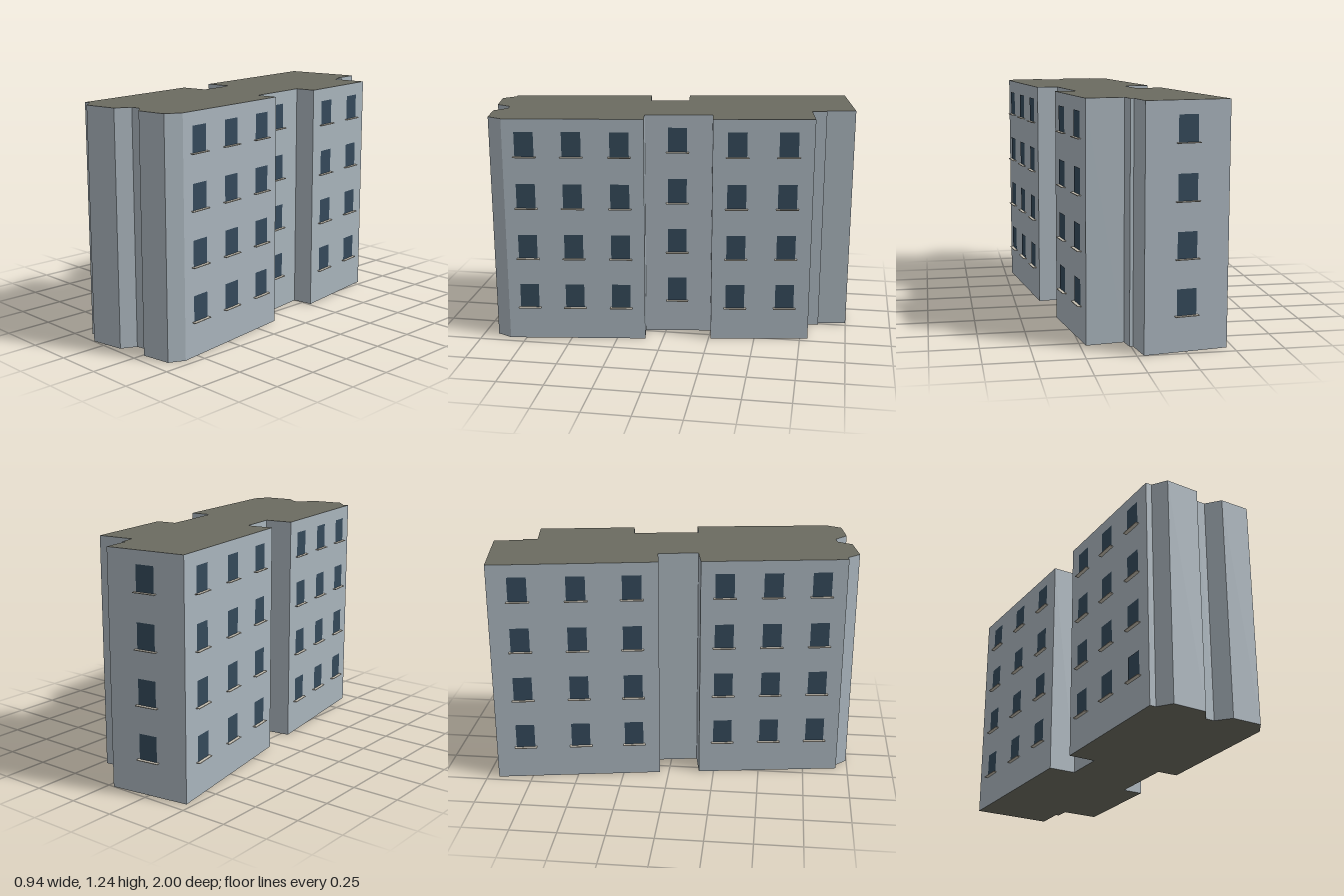
import * as THREE from 'three';

const HEIGHT = 1.24;

// Floor plan corners [x, z]
const PLAN = [
  [-0.468, -0.937], [-0.034, -1.0], [-0.01, -0.842], [0.008, -0.846], [0.022, -0.767],
  [0.22, -0.793], [0.302, -0.262], [0.19, -0.247], [0.242, 0.112], [0.357, 0.096],
  [0.457, 0.838], [0.417, 0.92], [0.257, 0.942], [0.185, 0.88], [0.138, 0.888],
  [0.098, 0.967], [-0.083, 0.997], [-0.145, 0.932], [-0.178, 0.937],
  [-0.292, 0.168], [-0.145, 0.143], [-0.178, -0.07], [-0.323, -0.05],
];

// Window columns: index of the wall's first corner, and positions along the wall (0 to 1)
const alongZ = (i, zs) => {
  const a = PLAN[i][1], b = PLAN[(i + 1) % PLAN.length][1];
  return { wall: i, at: zs.map((z) => (z - a) / (b - a)) };
};
const COLUMNS = [
  { wall: 0, at: [0.5] },
  alongZ(5, [-0.659, -0.391]),
  alongZ(7, [-0.061]),
  alongZ(9, [0.225, 0.476, 0.723]),
  alongZ(18, [0.805, 0.55, 0.295]),
  alongZ(22, [-0.19, -0.48, -0.78]),
];
const FLOORS = [0.185, 0.469, 0.753, 1.037];
const WIN_W = 0.102, WIN_H = 0.134;

export function createModel() {
  const model = new THREE.Group();
  model.name = 'apartmentBlock';

  const mat = (color) => new THREE.MeshStandardMaterial({ color });
  const wallMat = mat(0xa9b4bc), roofMat = mat(0x6b6b60);
  const glassMat = mat(0x34495a), sillMat = mat(0xc8c2b4);

  // Building body: roof and base are the caps, walls the sides
  const shape = new THREE.Shape(PLAN.map(([x, z]) => new THREE.Vector2(x, -z)));
  const bodyGeo = new THREE.ExtrudeGeometry(shape, { depth: HEIGHT, bevelEnabled: false });
  bodyGeo.rotateX(-Math.PI / 2);
  const body = new THREE.Mesh(bodyGeo, [roofMat, wallMat]);
  body.name = 'building';
  model.add(body);

  // Windows with thin projecting sills
  const glassGeo = new THREE.PlaneGeometry(WIN_W, WIN_H).translate(0, WIN_H / 2, 0.003);
  const sillGeo = new THREE.BoxGeometry(0.122, 0.004, 0.02).translate(0, -0.002, 0.01);
  for (const { wall, at } of COLUMNS) {
    const [ax, az] = PLAN[wall], [bx, bz] = PLAN[(wall + 1) % PLAN.length];
    const angle = Math.atan2(bz - az, ax - bx); // outward direction of the wall
    for (const t of at) {
      for (const y of FLOORS) {
        const unit = new THREE.Group();
        unit.name = 'window';
        const glass = new THREE.Mesh(glassGeo, glassMat);
        glass.name = 'windowPane';
        const sill = new THREE.Mesh(sillGeo, sillMat);
        sill.name = 'windowSill';
        unit.add(glass, sill);
        unit.position.set(ax + (bx - ax) * t, y, az + (bz - az) * t);
        unit.rotation.y = angle;
        model.add(unit);
      }
    }
  }
  return model;
}
